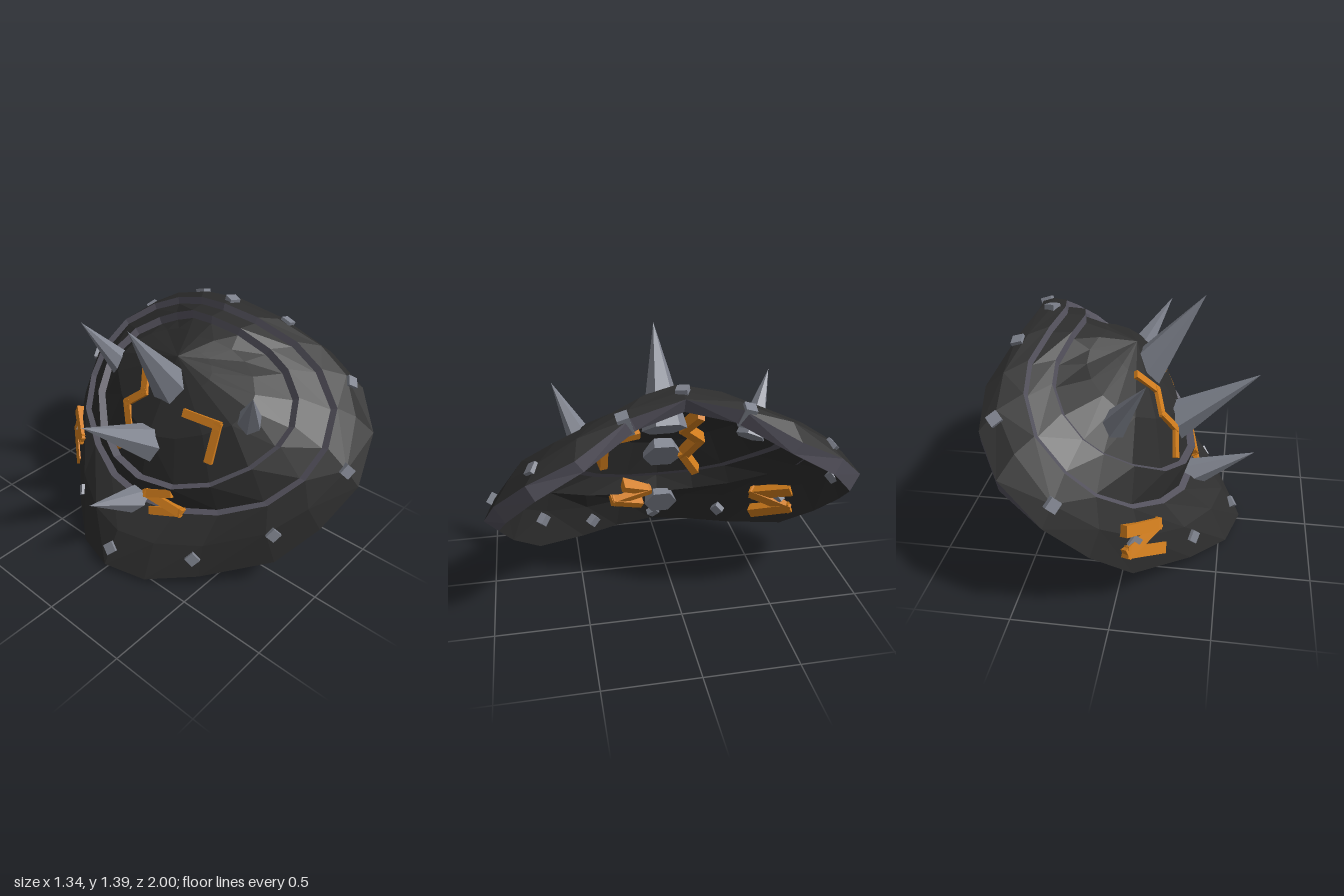
import * as THREE from 'three';

const V = (x, y, z) => new THREE.Vector3(x, y, z);
const mat = (name, color) => Object.assign(new THREE.MeshStandardMaterial({ color }), { name });
const CORE = V(0.2, 0.5, 0); // point in the hollow that wall thickness is measured towards

// Half loops from the bottom centre to the top centre, mirrored across z
const half = {
  rim: [[-.61, .03, 0], [-.54, .02, .24], [-.36, .07, .48], [-.09, .18, .78], [.1, .37, .92], [.3, .58, 1], [.52, .78, .93], [.64, .94, .77], [.67, 1.06, .54], [.58, 1.21, .27], [.53, 1.265, 0]],
  lip: [[-.55, 0, 0], [-.48, .01, .23], [-.31, .06, .46], [-.06, .17, .73], [.12, .34, .87], [.31, .52, .93], [.53, .69, .88], [.65, .86, .73], [.665, 1, .5], [.56, 1.14, .24], [.5, 1.19, 0]],
  brim: [[-.5, .21, 0], [-.45, .22, .23], [-.32, .26, .47], [-.12, .37, .73], [.06, .5, .86], [.26, .68, .94], [.45, .88, .85], [.57, 1.02, .7], [.58, 1.13, .52], [.52, 1.23, .27], [.46, 1.28, 0]],
  outerStep: [[-.33, .33, 0], [-.3, .35, .25], [-.21, .41, .48], [-.08, .52, .7], [.08, .65, .81], [.22, .79, .84], [.37, .94, .78], [.46, 1.07, .61], [.48, 1.16, .43], [.425, 1.25, .2], [.385, 1.285, 0]],
  innerStep: [[-.335, .48, 0], [-.3, .5, .22], [-.21, .57, .42], [-.07, .69, .58], [.07, .79, .65], [.17, .87, .66], [.28, .97, .6], [.355, 1.06, .47], [.365, 1.13, .34], [.315, 1.215, .17], [.28, 1.245, 0]],
  cap: [[-.24, .72, 0], [-.2, .75, .16], [-.14, .81, .3], [-.05, .88, .42], [.04, .95, .46], [.11, 1.0, .44], [.18, 1.05, .37], [.22, 1.09, .28], [.22, 1.13, .19], [.19, 1.16, .09], [.16, 1.165, 0]],
};
const loop = (pts) => [
  ...pts.map((p) => V(...p)),
  ...pts.slice(1, -1).reverse().map(([x, y, z]) => V(x, y, -z)),
];
const inset = (ring, d) => ring.map((p) => p.clone().addScaledVector(CORE.clone().sub(p).normalize(), d));
const blend = (a, b, t) => a.map((p, i) => p.clone().lerp(b[i], t));

// Faceted surface between consecutive loops; keep chooses the strips to build
function loft(rings, keep) {
  const out = [];
  const tri = (...p) => p.forEach((v) => out.push(v.x, v.y, v.z));
  const reach = (p, q) => p.clone().lerp(q, .5).distanceTo(CORE);
  for (let i = 0; i < rings.length - 1; i++) {
    if (!keep(i)) continue;
    const A = rings[i], B = rings[i + 1], n = A.length;
    for (let j = 0; j < n; j++) {
      const k = (j + 1) % n;
      if (A[j].equals(A[k])) tri(A[j], B[j], B[k]);
      else if (B[j].equals(B[k])) tri(A[j], B[j], A[k]);
      else if (reach(A[j], B[k]) >= reach(A[k], B[j])) tri(A[j], B[j], B[k], A[j], B[k], A[k]);
      else tri(A[j], B[j], A[k], A[k], B[j], B[k]);
    }
  }
  const g = new THREE.BufferGeometry();
  g.setAttribute('position', new THREE.Float32BufferAttribute(out, 3));
  g.computeVertexNormals();
  return g;
}

export function createModel() {
  const group = new THREE.Group();
  const black = mat('black plate', 0x2d2d2d);
  const edge = mat('plate edge', 0x55535e);
  const steel = mat('steel', 0x7f838e);
  const orange = mat('orange rune', 0xd07c1c);
  const add = (name, geo, m) => {
    const mesh = new THREE.Mesh(geo, m);
    mesh.name = name;
    group.add(mesh);
    return mesh;
  };

  // Three overlapping plates as one closed wall, from outer apex over the rim to inner apex
  const L = Object.fromEntries(Object.entries(half).map(([k, p]) => [k, loop(p)]));
  const apex = L.cap.map(() => V(0, 1.11, 0));
  const crown = blend(L.cap, apex, .55);
  const rings = [
    apex, crown, L.cap, inset(L.innerStep, .045), L.innerStep,
    inset(L.outerStep, .04), L.outerStep, L.brim, L.rim, L.lip,
    inset(L.brim, .06), inset(L.outerStep, .05), inset(L.outerStep, .07),
    inset(blend(L.innerStep, L.outerStep, .2), .045), inset(L.innerStep, .07),
    inset(L.cap, .03), inset(crown, .03), inset(apex, .03),
  ];
  const edgeStrips = [3, 5, 8, 11, 13];
  const plates = add('plates', loft(rings, (i) => !edgeStrips.includes(i)), black);
  add('plateEdges', loft(rings, (i) => edgeStrips.includes(i)), edge);

  // Snap a point to the outer wall and return its position and normal
  const snap = (p) => {
    const dir = p.clone().sub(CORE).normalize();
    const ray = new THREE.Raycaster(CORE.clone().addScaledVector(dir, 3), dir.clone().negate());
    const hit = ray.intersectObject(plates)[0];
    return hit ? { p: hit.point, n: hit.face.normal.clone() } : { p, n: dir };
  };
  // Turn a mesh so its z follows the normal and its x follows a direction
  const orient = (mesh, along, normal) => {
    const x = along.clone().normalize();
    const z = normal.clone().addScaledVector(x, -normal.dot(x)).normalize();
    mesh.quaternion.setFromRotationMatrix(new THREE.Matrix4().makeBasis(x, z.clone().cross(x), z));
  };

  // Diamond studs around the brim, passing through the wall
  const studs = [[-.57, .11, 0], [.46, 1.29, 0]];
  for (const [x, y, z] of [[-.38, .17, .45], [-.1, .36, .78], [.26, .68, .95], [.58, 1, .75], [.57, 1.22, .31]])
    studs.push([x, y, z], [x, y, -z]);
  for (const s of studs) {
    const { p, n } = snap(V(...s));
    const side = V(0, 1, 0).cross(n).normalize();
    const stud = add('stud', new THREE.BoxGeometry(.06, .06, .11), steel);
    orient(stud, side.clone().add(n.clone().cross(side)), n);
    stud.position.copy(p).addScaledVector(n, -.037);
  }

  // Six-sided spikes whose bases show inside the hollow: tip, base centre, base radius
  const spikes = [
    [[-.36, 1.39, 0], [0, .88, 0], .13],
    [[-.67, .97, -.03], [-.18, .63, -.02], .118],
    [[-.67, .48, -.02], [-.25, .28, -.02], .1],
    [[-.13, 1.15, .6], [.07, .83, .44], .085],
    [[-.13, 1.15, -.62], [.07, .83, -.47], .085],
  ];
  for (const [t, b, r] of spikes) {
    const tip = V(...t), base = V(...b), axis = tip.clone().sub(base);
    const cone = new THREE.ConeGeometry(r, axis.length(), 6).toNonIndexed();
    cone.computeVertexNormals();
    const spike = add('spike', cone, steel);
    spike.quaternion.setFromUnitVectors(V(0, 1, 0), axis.normalize());
    spike.position.copy(tip).add(base).multiplyScalar(.5);
  }

  // Flat zigzag runes set through the wall: facing, stroke width, outer corners
  const runes = [
    [[-.88, .38, .2], .045, [[-.12, .88, .17], [-.09, .88, .37], [-.18, .7, .39]].map((p) => snap(V(...p)).p)],
    [[-.85, .45, -.1], .045, [[-.03, 1, -.2], [-.1, .86, -.12], [-.16, .8, -.23], [-.23, .68, -.15], [-.29, .57, -.25]].map((p) => snap(V(...p)).p)],
    [[-.85, .45, .15], .045, [[-.29, .46, .21], [-.325, .41, .07], [-.295, .37, .28], [-.335, .32, .12]].map((p) => V(...p))],
    [[-.75, .3, -.58], .06, [[-.06, .45, -.79], [-.185, .38, -.62], [-.07, .33, -.8], [-.21, .24, -.63]].map((p) => V(...p))],
  ];
  for (const [facing, width, pts] of runes) {
    const n = V(...facing).normalize();
    for (let i = 0; i < pts.length - 1; i++) {
      const along = pts[i + 1].clone().sub(pts[i]);
      const bar = add('runeStroke', new THREE.BoxGeometry(along.length() + width * .7, width, .12), orange);
      orient(bar, along, n);
      bar.position.copy(pts[i]).add(pts[i + 1]).multiplyScalar(.5).addScaledVector(n, -.042);
    }
  }
  return group;
}
